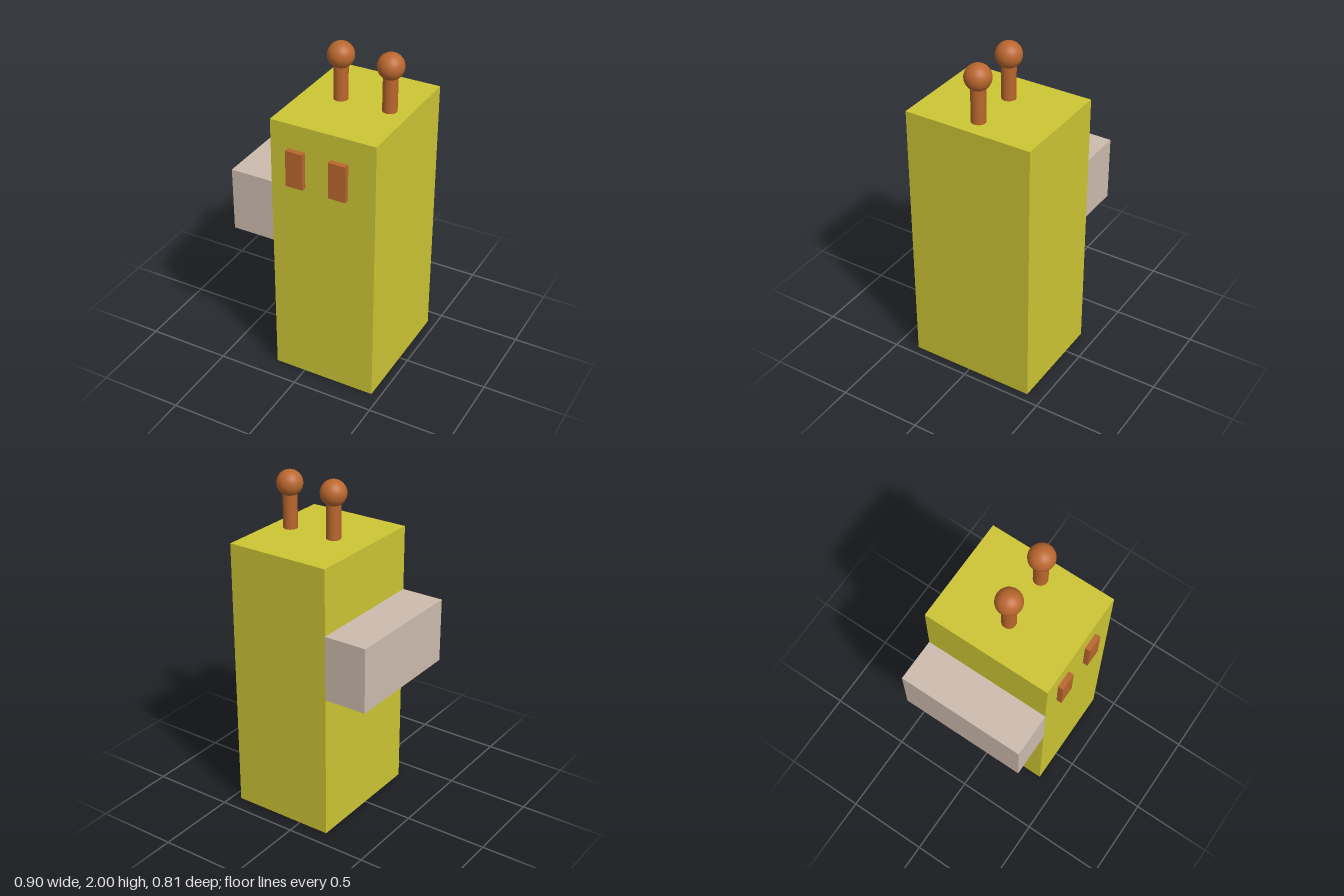
import * as THREE from 'three';

const mat = (name, color) => {
  const m = new THREE.MeshStandardMaterial({ color });
  m.name = name;
  return m;
};

export function createModel() {
  const model = new THREE.Group();
  const yellow = mat('mustard yellow', 0xcdc534);
  const beige = mat('warm beige', 0xcdbcae);
  const orange = mat('burnt orange', 0xba672e);

  const add = (name, geometry, material, x, y, z) => {
    const mesh = new THREE.Mesh(geometry, material);
    mesh.name = name;
    mesh.position.set(x, y, z);
    model.add(mesh);
  };
  // Box given by its minimum and maximum corners
  const box = (name, material, a, b) => add(
    name,
    new THREE.BoxGeometry(b[0] - a[0], b[1] - a[1], b[2] - a[2]),
    material,
    (a[0] + b[0]) / 2, (a[1] + b[1]) / 2, (a[2] + b[2]) / 2
  );

  // Tall body with a pack along its right side
  box('body', yellow, [-0.19, 0, -0.405], [0.447, 1.66, 0.373]);
  box('sidePack', beige, [-0.45, 0.883, -0.405], [-0.19, 1.27, 0.373]);

  // Raised rectangular eyes
  for (const [name, x] of [['rightEye', -0.03], ['leftEye', 0.232]]) {
    box(name, orange, [x - 0.052, 1.29, 0.36], [x + 0.052, 1.51, 0.405]);
  }

  // Antennae: a round stem with a ball on top
  for (const [side, x] of [['right', 0.029], ['left', 0.328]]) {
    add(side + 'AntennaStem', new THREE.CylinderGeometry(0.042, 0.042, 0.28, 32), orange, x, 1.78, -0.016);
    add(side + 'AntennaBall', new THREE.SphereGeometry(0.076, 32, 16), orange, x, 1.924, -0.016);
  }

  return model;
}
